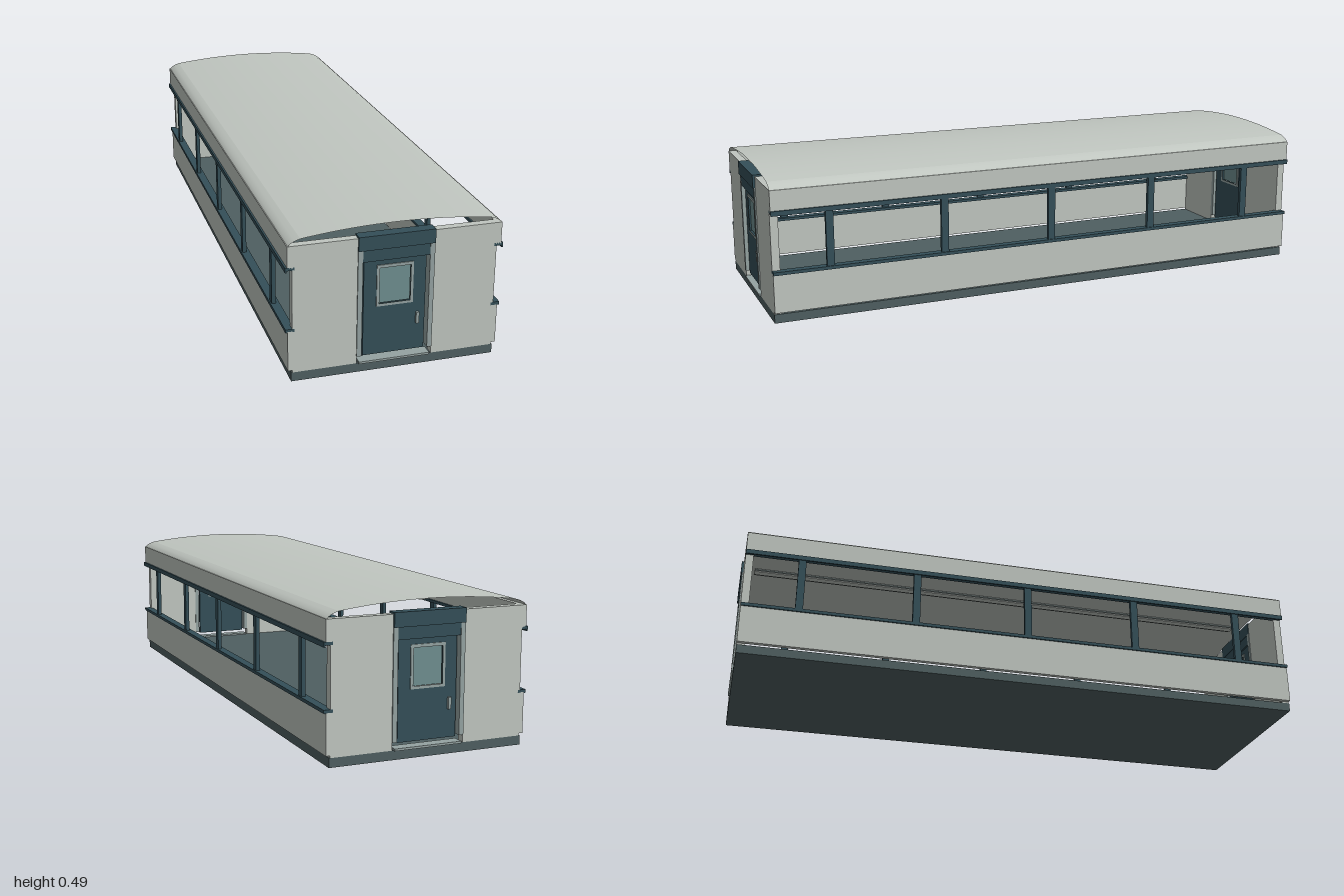
import * as THREE from 'three';

const mat = (color, side = THREE.FrontSide) => new THREE.MeshStandardMaterial({ color, side });

export function createModel() {
  const carriage = new THREE.Group();
  carriage.name = 'carriage';
  const wall = mat(0xc0c6c0);
  const teal = mat(0x344f58);
  const trim = mat(0x95a3a2);
  const glass = mat(0x6f8f90);
  const base = mat(0x4f5f61);
  const shell = mat(0xc0c6c0, THREE.DoubleSide);

  // Box given by its extents on each axis
  function box(parent, name, material, [x0, x1], [y0, y1], [z0, z1]) {
    const mesh = new THREE.Mesh(new THREE.BoxGeometry(x1 - x0, y1 - y0, z1 - z0), material);
    mesh.position.set((x0 + x1) / 2, (y0 + y1) / 2, (z0 + z1) / 2);
    mesh.name = name;
    parent.add(mesh);
    return mesh;
  }

  // Thin sheet swept along z over a list of [x, y] points running left to right
  function sheet(name, points) {
    const n = points.length;
    const geo = new THREE.PlaneGeometry(1, 1, n - 1, 1);
    const p = geo.attributes.position;
    for (let i = 0; i < p.count; i++) {
      const [x, y] = points[i % n];
      p.setXYZ(i, x, y, i < n ? -0.992 : 0.992);
    }
    geo.computeVertexNormals();
    const mesh = new THREE.Mesh(geo, shell);
    mesh.name = name;
    carriage.add(mesh);
  }

  // Underframe and floor
  box(carriage, 'floor', base, [-0.33, 0.33], [0, 0.03], [-0.992, 0.992]);

  // Side wall, built on +x
  function buildSide() {
    const g = new THREE.Group();
    const z = [-0.992, 0.992];
    box(g, 'lowerPanel', wall, [0.325, 0.34], [0.037, 0.17], z);
    box(g, 'upperPanel', wall, [0.323, 0.341], [0.378, 0.449], z);
    for (const [name, y, lip] of [['sillRail', 0.167, 0.172], ['headRail', 0.37, 0.37]]) {
      box(g, name, teal, [0.318, 0.347], [y + 0.001, y + 0.011], z);
      box(g, name + 'Lip', teal, [0.342, 0.347], [lip - 0.005, lip + 0.005], z);
    }
    for (let i = -2; i <= 2; i++)
      box(g, 'mullion', teal, [0.33, 0.343], [0.175, 0.373], [i * 0.4 - 0.013, i * 0.4 + 0.013]);
    return g;
  }

  // End wall with its door, built on +z
  function buildEnd() {
    const g = new THREE.Group();
    for (const s of [-1, 1]) {
      const span = (a, b) => (s > 0 ? [a, b] : [-b, -a]);
      box(g, 'endPanel', wall, span(0.122, 0.326), [0.03, 0.449], [0.965, 0.992]);
      box(g, 'doorJamb', trim, span(0.107, 0.1225), [0.055, 0.41], [0.963, 0.996]);
    }
    box(g, 'doorHeader', teal, [-0.122, 0.122], [0.409, 0.455], [0.963, 1]);
    box(g, 'headerPanel', teal, [-0.107, 0.107], [0.37, 0.41], [0.965, 0.995]);
    box(g, 'threshold', trim, [-0.115, 0.115], [0.029, 0.036], [0.96, 0.998]);

    // Door leaf with a window hole
    const leaf = new THREE.Shape([[-0.1, 0.05], [0.1, 0.05], [0.1, 0.371], [-0.1, 0.371]]
      .map(([x, y]) => new THREE.Vector2(x, y)));
    const rect = (x, y0, y1) => new THREE.Path([[-x, y0], [-x, y1], [x, y1], [x, y0]]
      .map(([a, b]) => new THREE.Vector2(a, b)));
    leaf.holes.push(rect(0.055, 0.217, 0.346));
    const door = new THREE.Mesh(
      new THREE.ExtrudeGeometry(leaf, { depth: 0.014, bevelEnabled: false }), teal);
    door.position.z = 0.97;
    door.name = 'door';
    g.add(door);

    // Window frame on both faces of the door, and its pane
    const ring = new THREE.Shape(rect(0.059, 0.213, 0.351).getPoints());
    ring.holes.push(rect(0.05, 0.222, 0.341));
    const frame = new THREE.Mesh(
      new THREE.ExtrudeGeometry(ring, { depth: 0.02, bevelEnabled: false }), trim);
    frame.position.z = 0.967;
    frame.name = 'doorWindowFrame';
    g.add(frame);
    box(g, 'doorGlass', glass, [-0.051, 0.051], [0.221, 0.342], [0.975, 0.979]);
    box(g, 'doorHandle', trim, [0.07, 0.08], [0.14, 0.178], [0.983, 0.992]);
    return g;
  }

  // The carriage looks the same after half a turn
  for (const [i, label] of ['left', 'right'].entries()) {
    const side = buildSide();
    side.name = label + 'Side';
    side.rotation.y = i * Math.PI;
    carriage.add(side);
  }
  for (const [i, label] of ['front', 'back'].entries()) {
    const end = buildEnd();
    end.name = label + 'End';
    end.rotation.y = i * Math.PI;
    carriage.add(end);
  }

  // Thin arched roof with steeper eaves
  const arch = [];
  for (let i = -10; i <= 10; i++) arch.push([i * 0.03, 0.49 - 0.02 * (i / 10) ** 2]);
  sheet('roof', arch);
  const eave = [[0.3, 0.47], [0.318, 0.464], [0.332, 0.456], [0.339, 0.448]];
  sheet('leftEave', eave);
  sheet('rightEave', eave.map(([x, y]) => [-x, y]).reverse());

  // Ceiling strip under the ridge
  box(carriage, 'ceilingStrip', trim, [-0.022, 0.022], [0.483, 0.487], [-0.95, 0.95]);
  box(carriage, 'ceilingStripLens', wall, [-0.013, 0.013], [0.48, 0.484], [-0.95, 0.95]);

  return carriage;
}
